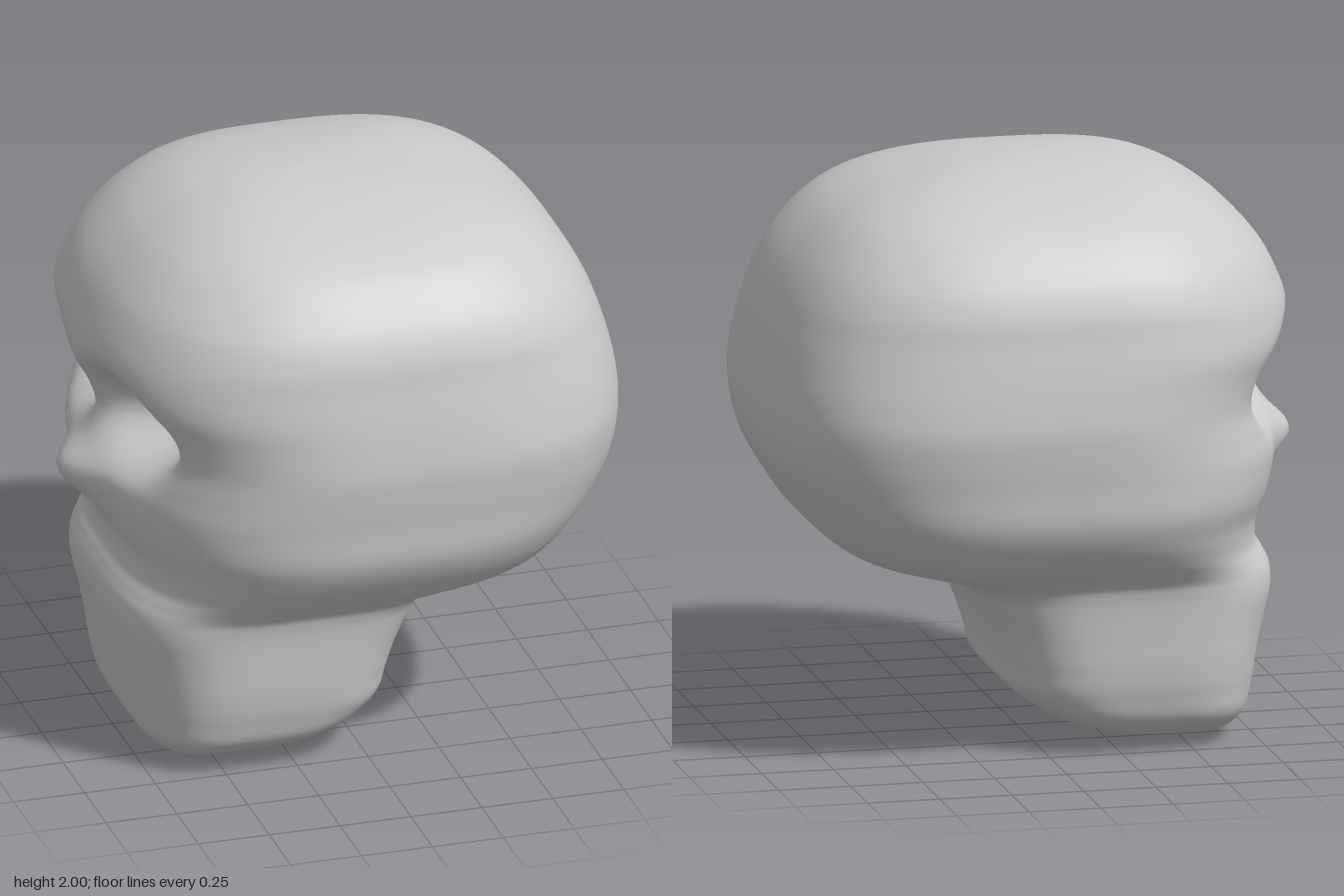
import * as THREE from 'three';

// Horizontal sections of the skull: [y, face x, back x, half width in z]
const SECTIONS = [
  [0, -0.56, -0.56, 0], [0.005, -0.62, -0.45, 0.18], [0.03, -0.68, -0.28, 0.37],
  [0.1, -0.735, -0.05, 0.51], [0.2, -0.76, 0.09, 0.555], [0.3, -0.775, 0.125, 0.575],
  [0.4, -0.795, 0.16, 0.585], [0.5, -0.82, 0.21, 0.595], [0.56, -0.825, 0.25, 0.605],
  [0.6, -0.82, 0.32, 0.62], [0.64, -0.80, 0.48, 0.66], [0.69, -0.775, 0.64, 0.72],
  [0.77, -0.78, 0.745, 0.79], [0.87, -0.82, 0.82, 0.84], [1.0, -0.845, 0.895, 0.857],
  [1.1, -0.83, 0.925, 0.87], [1.2, -0.815, 0.935, 0.878], [1.3, -0.845, 0.93, 0.87],
  [1.4, -0.89, 0.91, 0.857], [1.5, -0.89, 0.88, 0.84], [1.6, -0.855, 0.84, 0.822],
  [1.7, -0.80, 0.78, 0.78], [1.8, -0.71, 0.69, 0.70], [1.87, -0.62, 0.59, 0.61],
  [1.93, -0.51, 0.45, 0.46], [1.97, -0.39, 0.29, 0.29], [1.99, -0.26, 0.12, 0.15],
  [2.0, -0.1, -0.1, 0],
];
const LEVELS = 162, AROUND = 144;

// Nose bump (positive) and eye socket pits (negative) along -x
function faceRelief(y, z) {
  const nose = 0.1 * Math.exp(-(((y - 0.98) / 0.1) ** 2) - (z / 0.15) ** 2);
  const d = Math.hypot((y - 1.26) / 0.15, (Math.abs(z) - 0.3) / 0.2);
  return nose - 0.26 * Math.exp(-(d ** 3));
}

export function createModel() {
  const group = new THREE.Group();
  const faceCurve = new THREE.SplineCurve(SECTIONS.map(s => new THREE.Vector2(s[0], s[1])));
  const backCurve = new THREE.SplineCurve(SECTIONS.map(s => new THREE.Vector2(s[2], s[3])));
  const positions = [], indices = [];

  // Rounded-square loops stacked from chin to crown
  for (let i = 0; i <= LEVELS; i++) {
    const { x: y, y: front } = faceCurve.getPoint(i / LEVELS);
    const { x: back, y: width } = backCurve.getPoint(i / LEVELS);
    const cx = (front + back) / 2, rx = (back - front) / 2;
    const jaw = 1 - THREE.MathUtils.smoothstep(y, 0.5, 0.85);
    for (let j = 0; j < AROUND; j++) {
      const a = (j / AROUND) * Math.PI * 2, c = Math.cos(a), s = Math.sin(a);
      const n = 2.85 + 0.25 * c + 0.8 * jaw;
      const r = (Math.abs(c) ** n + Math.abs(s) ** n) ** (-1 / n);
      const z = width * r * s;
      const mask = THREE.MathUtils.smoothstep(-c, 0.1, 0.6);
      positions.push(cx + rx * r * c - mask * faceRelief(y, z), THREE.MathUtils.clamp(y, 0, 2), z);
    }
  }
  for (let i = 0; i < LEVELS; i++) {
    for (let j = 0; j < AROUND; j++) {
      const a = i * AROUND + j, b = i * AROUND + (j + 1) % AROUND;
      const c = a + AROUND, d = b + AROUND;
      if (i > 0) indices.push(a, c, b);
      if (i === 0) indices.push(a, c, d);
      else if (i < LEVELS - 1) indices.push(b, c, d);
    }
  }

  const geometry = new THREE.BufferGeometry();
  geometry.setAttribute('position', new THREE.Float32BufferAttribute(positions, 3));
  geometry.setIndex(indices);
  geometry.computeVertexNormals();
  // Flat normals at the two closing points
  const normals = geometry.attributes.normal;
  for (let j = 0; j < AROUND; j++) {
    normals.setXYZ(j, 0, -1, 0);
    normals.setXYZ(LEVELS * AROUND + j, 0, 1, 0);
  }

  const skull = new THREE.Mesh(geometry, new THREE.MeshStandardMaterial({ color: 0xcccccc }));
  skull.name = 'skull';
  group.add(skull);
  return group;
}
